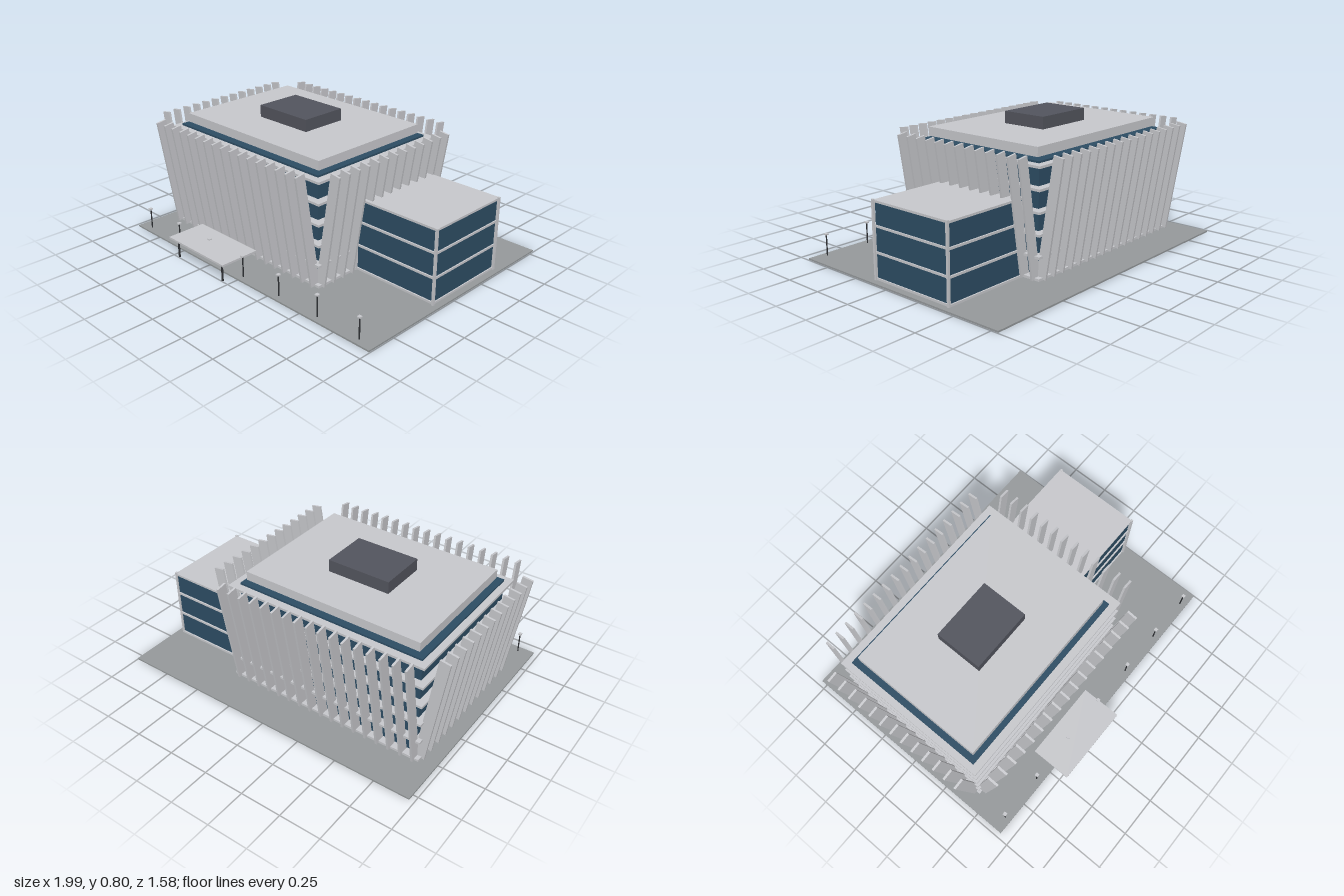
import * as THREE from 'three';

const material = (name, color) => {
  const m = new THREE.MeshStandardMaterial({ color });
  m.name = name;
  return m;
};

export function createModel() {
  const concrete = material('pale concrete', 0xc8c9cd);
  const glass = material('blue glass', 0x2d4d64);
  const paving = material('grey paving', 0x969a9c);
  const plant = material('dark cladding', 0x53555e);
  const metal = material('dark metal', 0x2e3034);

  const model = new THREE.Group();
  model.name = 'officeBuilding';
  const group = (name) => {
    const g = new THREE.Group();
    g.name = name;
    model.add(g);
    return g;
  };
  // Box given by its limits along each axis
  const box = (parent, name, mat, [x0, x1], [y0, y1], [z0, z1]) => {
    const mesh = new THREE.Mesh(new THREE.BoxGeometry(x1 - x0, y1 - y0, z1 - z0), mat);
    mesh.position.set((x0 + x1) / 2, (y0 + y1) / 2, (z0 + z1) / 2);
    mesh.name = name;
    parent.add(mesh);
    return mesh;
  };
  const around = (c, size) => [c - size / 2, c + size / 2];

  // Ground plate
  box(model, 'groundPlate', paving, [-0.97, 0.995], [0, 0.01], [-0.79, 0.68]);

  // Main block: glass body, projecting floor slabs, roof and plant room
  const main = group('mainBlock');
  box(main, 'mainGlass', glass, [-0.835, 0.355], [0.01, 0.656], [-0.5, 0.39]);
  for (let i = 0; i < 6; i++) {
    box(main, 'floorSlab', concrete, [-0.875, 0.405], around(0.018 + i * 0.124, 0.014), [-0.547, 0.435]);
  }
  box(main, 'roofSlab', concrete, [-0.8, 0.33], [0.669, 0.724], [-0.47, 0.36]);
  box(main, 'plantRoom', plant, [-0.435, -0.042], [0.724, 0.798], [-0.2, 0.093]);

  // Outward-leaning fins on all four sides
  const fins = group('facadeFins');
  const tilt = 0.157, finLength = 0.695, finDepth = 0.064, finWidth = 0.013, finY = 0.36;
  const longFin = new THREE.BoxGeometry(finWidth, finLength, finDepth);
  const sideFin = new THREE.BoxGeometry(finDepth, finLength, finWidth);
  const fin = (name, geometry, x, z, rx, rz) => {
    const mesh = new THREE.Mesh(geometry, concrete);
    mesh.position.set(x, finY, z);
    mesh.rotation.set(rx, 0, rz);
    mesh.name = name;
    fins.add(mesh);
  };
  for (let i = 0; i < 17; i++) {
    const x = -0.843 + i * 0.0756;
    fin('frontFin', longFin, x, 0.483, tilt, 0);
    fin('backFin', longFin, x, -0.588, -tilt, 0);
  }
  for (let i = 0; i < 13; i++) {
    const z = -0.509 + i * 0.0761;
    fin('rightFin', sideFin, -0.914, z, 0, tilt);
    fin('leftFin', sideFin, 0.445, z, 0, -tilt);
  }

  // Low side wing: glass, slabs and corner posts
  const wing = group('sideWing');
  box(wing, 'wingGlass', glass, [0.4, 0.95], [0.01, 0.45], [-0.425, 0.12]);
  for (const y of [0.018, 0.168, 0.316, 0.453]) {
    box(wing, 'wingSlab', concrete, [0.4, 0.957], around(y, 0.013), [-0.434, 0.129]);
  }
  for (const x of [0.4, 0.956]) {
    for (const z of [-0.425, 0.129]) {
      box(wing, 'cornerPost', concrete, around(x, 0.014), [0.01, 0.463], around(z, 0.014));
    }
  }

  // Entrance canopy on two columns
  const canopy = group('entranceCanopy');
  box(canopy, 'canopyRoof', concrete, [-0.483, 0.008], [0.126, 0.138], [0.54, 0.785]);
  for (const x of [-0.435, -0.035]) {
    const column = new THREE.Mesh(new THREE.CylinderGeometry(0.006, 0.006, 0.114, 10), metal);
    column.position.set(x, 0.07, 0.755);
    column.name = 'canopyColumn';
    canopy.add(column);
  }

  // Row of small lamps along the front
  const lamps = group('lamps');
  const poleGeometry = new THREE.CylinderGeometry(0.004, 0.004, 0.128, 8);
  for (let i = 0; i < 7; i++) {
    const x = -0.88 + i * 0.2958;
    const pole = new THREE.Mesh(poleGeometry, metal);
    pole.position.set(x, 0.074, 0.64);
    pole.name = 'lampPole';
    lamps.add(pole);
    box(lamps, 'lampHead', concrete, around(x, 0.02), [0.136, 0.144], around(0.64, 0.02));
  }
  return model;
}
